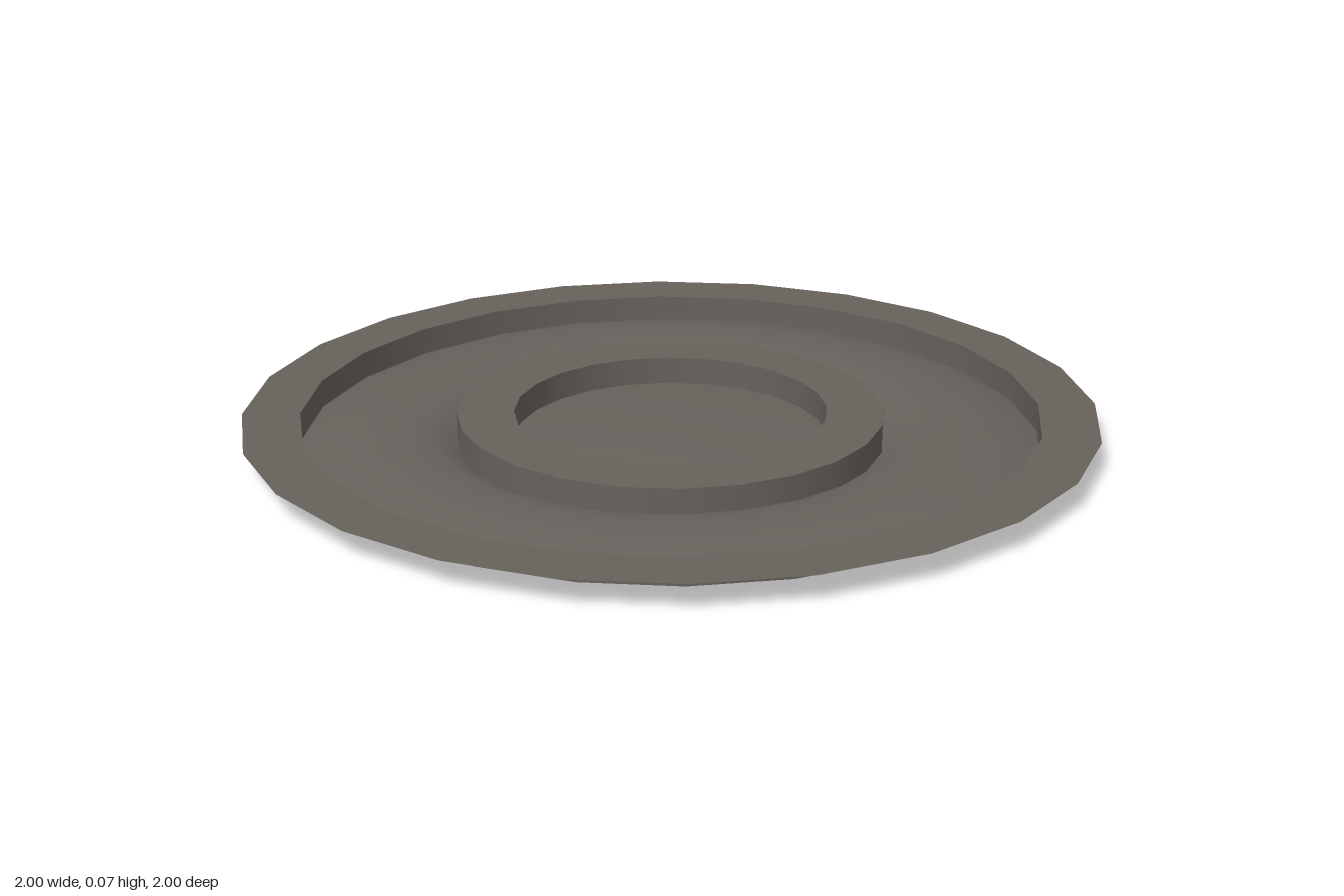
import * as THREE from 'three';

const SIDES = 24;
const TOP = 0.066; // height of the flat rings above the base

export function createModel() {
  const group = new THREE.Group();
  group.name = 'ribbedDisc';
  const darkGrey = new THREE.MeshStandardMaterial({ color: 0x66615b, side: THREE.DoubleSide });
  darkGrey.name = 'warm dark grey';

  // Each profile runs from the outside in, so the sheet faces upward
  const addSheet = (name, profile) => {
    const points = profile.map(([r, y]) => new THREE.Vector2(r, y));
    const mesh = new THREE.Mesh(new THREE.LatheGeometry(points, SIDES), darkGrey);
    mesh.name = name;
    group.add(mesh);
  };

  // Flat outer flange and the wall that drops from it
  addSheet('outerFlange', [[1, TOP], [0.865, TOP]]);
  addSheet('outerWall', [[0.865, TOP], [0.865, 0]]);

  // Softly rolled channel floor, steeper on its inner side
  addSheet('rolledFloor', [
    [0.865, 0], [0.83, 0.015], [0.77, 0.03], [0.7, 0.038],
    [0.63, 0.04], [0.57, 0.033], [0.53, 0.02], [0.5, 0],
  ]);

  // Raised inner ring
  addSheet('ringOuterWall', [[0.5, 0], [0.5, TOP]]);
  addSheet('ringTop', [[0.5, TOP], [0.367, TOP]]);
  addSheet('ringInnerWall', [[0.367, TOP], [0.367, 0]]);

  // Slightly domed centre
  addSheet('centreDome', [[0.367, 0], [0.28, 0.006], [0.18, 0.011], [0.09, 0.014], [0, 0.015]]);

  return group;
}
